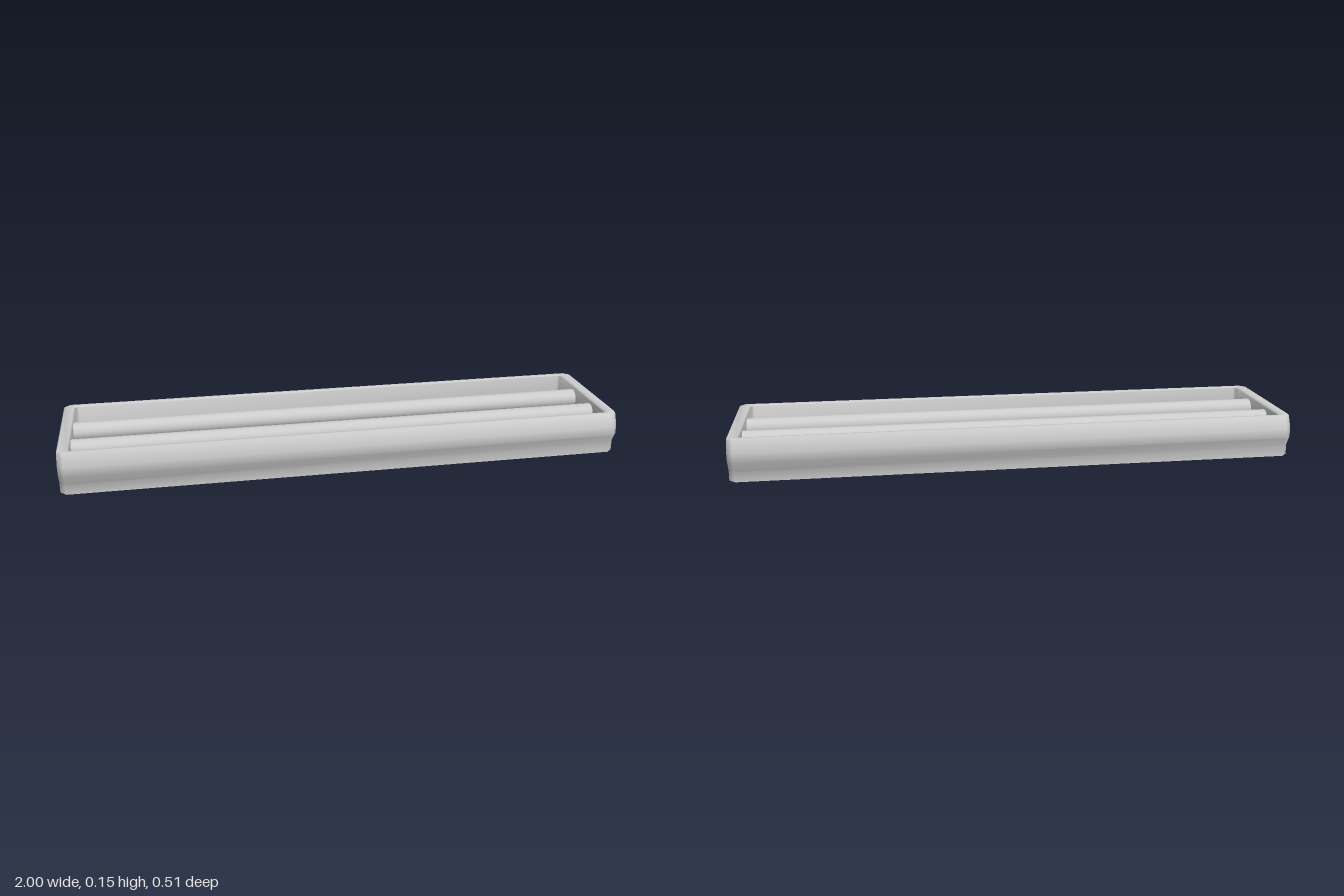
import * as THREE from 'three';
import { toCreasedNormals } from 'three/addons/utils/BufferGeometryUtils.js';

const material = new THREE.MeshStandardMaterial({ color: 0xcccccc, side: THREE.DoubleSide });

// Inside of the tray
const FLOOR_Y = 0.04, INNER_X = 0.96, INNER_Z = 0.212;

// Rectangle loop with cut corners in the horizontal plane
function ring([hx, hz, y, c]) {
  return [
    [hx, y, hz - c], [hx - c, y, hz], [c - hx, y, hz], [-hx, y, hz - c],
    [-hx, y, c - hz], [c - hx, y, -hz], [hx - c, y, -hz], [hx, y, c - hz],
  ];
}

// Skin joining consecutive loops
function loft(profile) {
  const rings = profile.map(ring);
  const n = rings[0].length;
  const index = [];
  for (let i = 0; i < rings.length - 1; i++) {
    for (let j = 0; j < n; j++) {
      const a = i * n + j, b = i * n + (j + 1) % n;
      index.push(a, a + n, b, b, a + n, b + n);
    }
  }
  const geometry = new THREE.BufferGeometry();
  geometry.setAttribute('position', new THREE.Float32BufferAttribute(rings.flat(2), 3));
  geometry.setIndex(index);
  return toCreasedNormals(geometry, 0.9);
}

export function createModel() {
  const group = new THREE.Group();
  const add = (name, geometry, x = 0, y = 0, z = 0) => {
    const mesh = new THREE.Mesh(geometry, material);
    mesh.name = name;
    mesh.position.set(x, y, z);
    group.add(mesh);
    return mesh;
  };

  // Thin shell: half length, half depth, height and corner cut of each loop,
  // up the bulging outside, over the rim and down to the floor
  add('frame', loft([
    [1, 0.231, 0, 0.022],
    [1, 0.231, 0.037, 0.022],
    [1, 0.253, 0.075, 0.022],
    [1, 0.253, 0.108, 0.022],
    [1, 0.234, 0.148, 0.022],
    [0.996, 0.227, 0.154, 0.02],
    [0.966, 0.217, 0.154, 0.012],
    [INNER_X, INNER_Z, 0.149, 0.01],
    [INNER_X, INNER_Z, FLOOR_Y, 0.01],
  ]));

  // Recessed floor, visible from above and below
  const floor = add('floor', new THREE.PlaneGeometry(2 * INNER_X, 2 * INNER_Z), 0, FLOOR_Y, 0);
  floor.rotation.x = -Math.PI / 2;

  // Two long tubes running between the end walls
  for (const side of [1, -1]) {
    const tube = add(side > 0 ? 'frontTube' : 'backTube',
      new THREE.CylinderGeometry(0.034, 0.034, 2 * INNER_X, 32, 1, true), 0, 0.103, side * 0.08);
    tube.rotation.z = Math.PI / 2;
  }
  return group;
}
